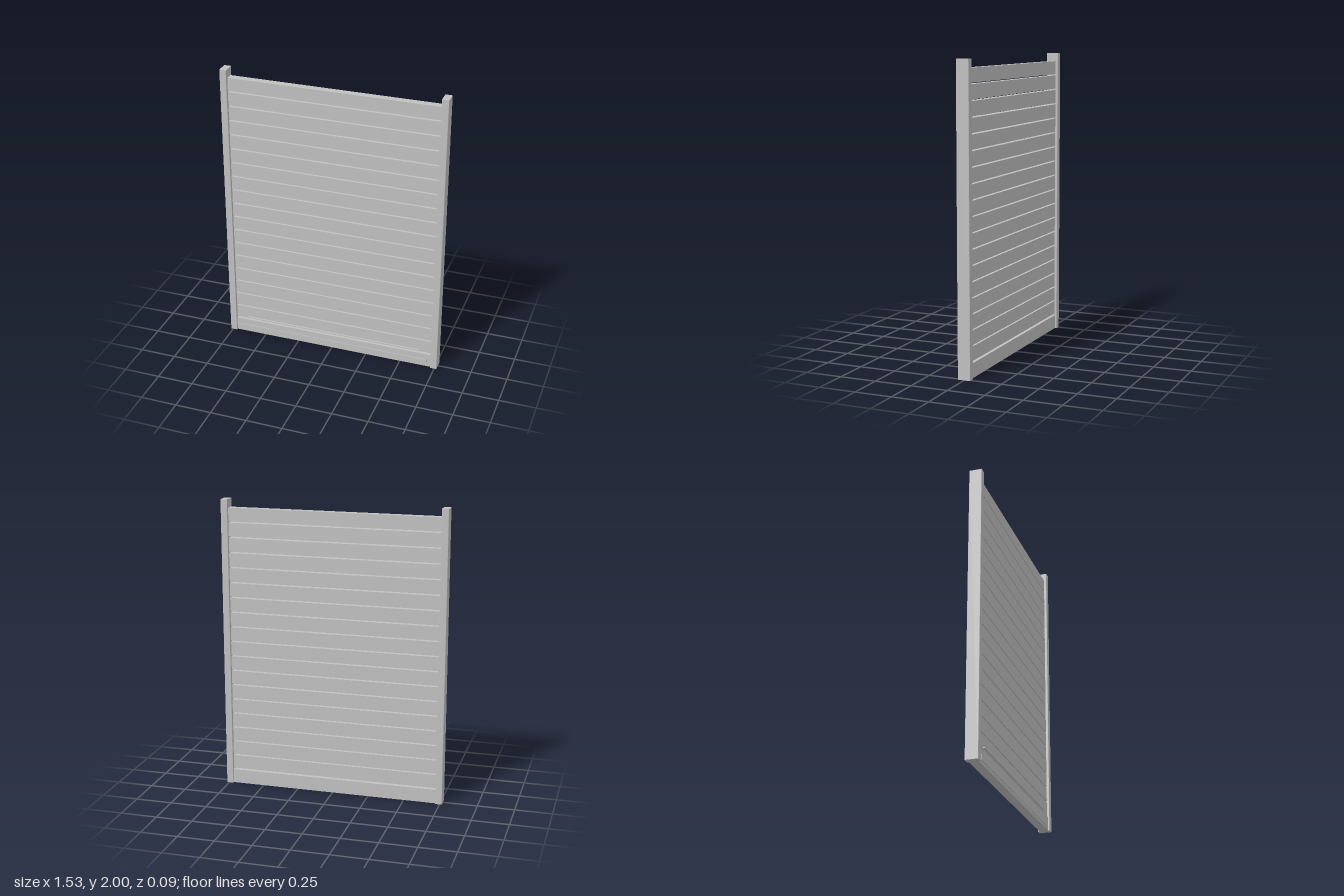
import * as THREE from 'three';

export function createModel() {
  const group = new THREE.Group();
  const grey = new THREE.MeshStandardMaterial({ color: 0xc0c0c0 });
  grey.name = 'aluminium grey';

  const addBox = (name, w, y0, y1, z0, z1) => {
    const mesh = new THREE.Mesh(new THREE.BoxGeometry(w, y1 - y0, z1 - z0), grey);
    mesh.position.set(0, (y0 + y1) / 2, (z0 + z1) / 2);
    mesh.name = name;
    group.add(mesh);
  };

  // Side posts: upright extrusions with slightly rounded corners
  const hw = 0.0235, hd = 0.043, r = 0.004;
  const section = new THREE.Shape();
  section.moveTo(-hw + r, -hd);
  section.lineTo(hw - r, -hd);
  section.quadraticCurveTo(hw, -hd, hw, -hd + r);
  section.lineTo(hw, hd - r);
  section.quadraticCurveTo(hw, hd, hw - r, hd);
  section.lineTo(-hw + r, hd);
  section.quadraticCurveTo(-hw, hd, -hw, hd - r);
  section.lineTo(-hw, -hd + r);
  section.quadraticCurveTo(-hw, -hd, -hw + r, -hd);
  const postGeometry = new THREE.ExtrudeGeometry(section, { depth: 2, bevelEnabled: false, curveSegments: 3 });
  postGeometry.rotateX(-Math.PI / 2);
  for (const side of [-1, 1]) {
    const post = new THREE.Mesh(postGeometry, grey);
    post.position.x = side * 0.7425;
    post.name = side > 0 ? 'leftPost' : 'rightPost';
    group.add(post);
  }

  // Horizontal slats with narrow open gaps between them
  const width = 1.44, pitch = 0.1026, gap = 0.009, firstGap = 0.1033;
  for (let i = 0; i < 18; i++) {
    const y0 = firstGap + i * pitch + gap / 2;
    const y1 = i === 17 ? 1.943 : y0 + pitch - gap;
    addBox('slat' + (i + 1), width, y0, y1, -0.025, 0.025);
  }

  // Thicker bottom rail with a shallow front plate
  addBox('bottomRail', width, 0, 0.097, -0.031, 0.031);
  addBox('railPlate', 1.38, 0.02, 0.055, 0.03, 0.036);

  // Thin strip on the front of the lowest slat
  addBox('frontStrip', 1.26, 0.114, 0.122, 0.024, 0.036);

  return group;
}
